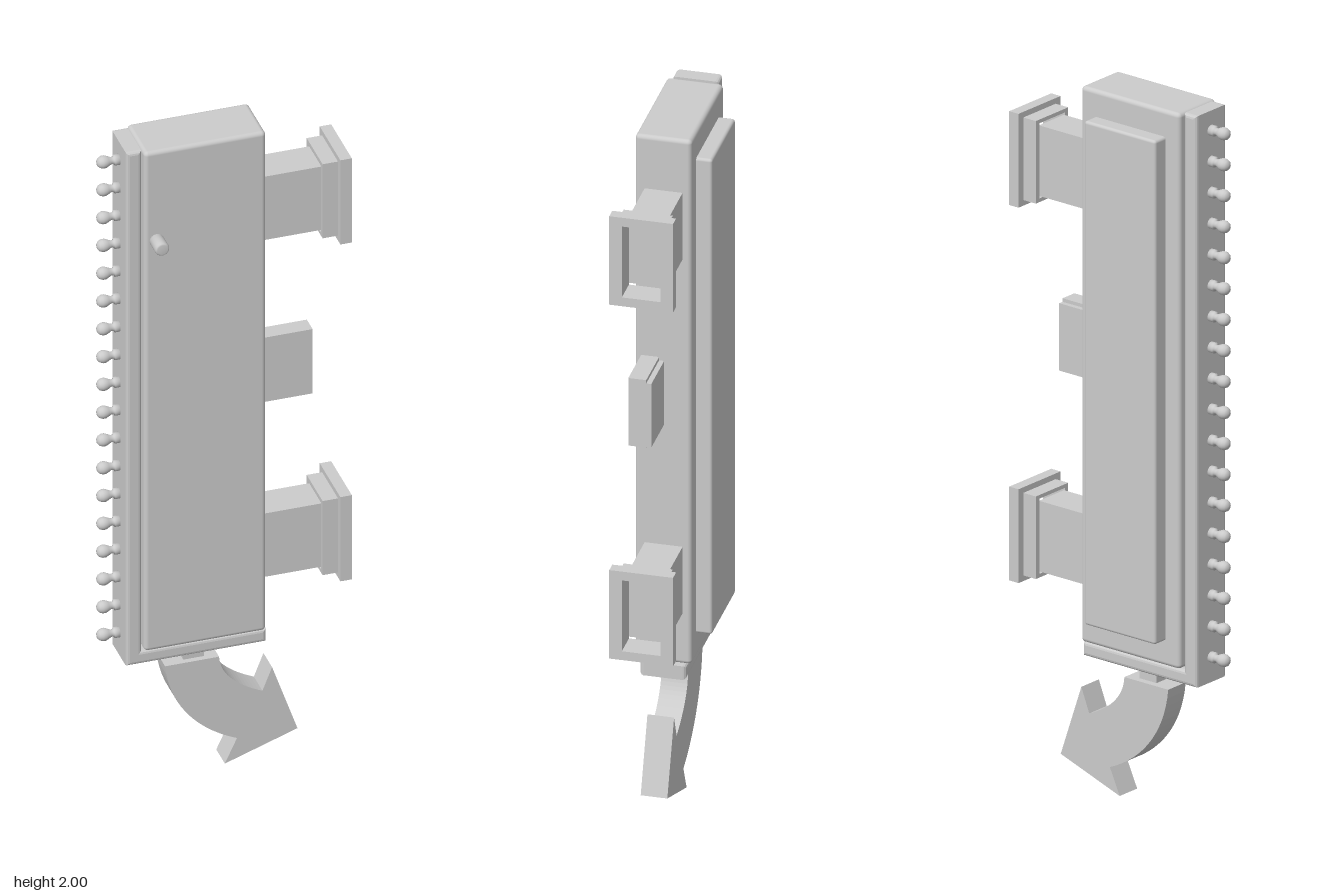
import * as THREE from 'three';
import { RoundedBoxGeometry } from 'three/addons/geometries/RoundedBoxGeometry.js';

const material = new THREE.MeshStandardMaterial({ color: 0xcccccc });

function add(parent, name, geometry) {
  const mesh = new THREE.Mesh(geometry, material);
  mesh.name = name;
  parent.add(mesh);
  return mesh;
}

// Box given by its limits on each axis; rounded when a radius is given
function box(parent, name, [x0, x1], [y0, y1], [z0, z1], radius = 0) {
  const size = [x1 - x0, y1 - y0, z1 - z0];
  const geometry = radius
    ? new RoundedBoxGeometry(...size, 3, radius)
    : new THREE.BoxGeometry(...size);
  const mesh = add(parent, name, geometry);
  mesh.position.set((x0 + x1) / 2, (y0 + y1) / 2, (z0 + z1) / 2);
  return mesh;
}

// Rectangular ring around the x axis, with its opening facing +x
function frame(parent, name, x0, x1, height, depth, holeHeight, holeDepth) {
  const rect = (target, w, h) => {
    target.moveTo(-w / 2, -h / 2);
    target.lineTo(w / 2, -h / 2);
    target.lineTo(w / 2, h / 2);
    target.lineTo(-w / 2, h / 2);
    target.closePath();
    return target;
  };
  const shape = rect(new THREE.Shape(), depth, height);
  shape.holes.push(rect(new THREE.Path(), holeDepth, holeHeight));
  const geometry = new THREE.ExtrudeGeometry(shape, { depth: x1 - x0, bevelEnabled: false });
  geometry.rotateY(Math.PI / 2);
  add(parent, name, geometry).position.x = x0;
}

export function createModel() {
  const model = new THREE.Group();
  model.name = 'wallUnit';

  // Main case with the raised panel on its back
  box(model, 'case', [-0.235, 0.105], [0.425, 2], [-0.081, 0.074], 0.012);
  box(model, 'backPanel', [-0.188, 0.057], [0.497, 1.925], [-0.125, -0.07], 0.008);

  // L-shaped edging: side rail and bottom plate in one piece
  const b = 0.01;
  const outline = [[-0.281, 0.38], [0.11, 0.38], [0.11, 0.421], [-0.238, 0.421], [-0.238, 2], [-0.281, 2]];
  const inset = [[1, 1], [-1, 1], [-1, -1], [-1, -1], [-1, -1], [1, -1]];
  const edging = new THREE.Shape(outline.map(([x, y], i) =>
    new THREE.Vector2(x + inset[i][0] * b, y + inset[i][1] * b)));
  add(model, 'edging', new THREE.ExtrudeGeometry(edging, {
    depth: 0.127 - 2 * b, bevelSize: b, bevelThickness: b, bevelSegments: 3,
  })).position.z = -0.067 + b;

  // Row of ball-ended pins along the side rail
  const pinProfile = [
    [0, 0], [0.015, 0], [0.015, 0.02], [0.01, 0.022], [0.01, 0.029], [0.014, 0.037],
    [0.0175, 0.045], [0.0175, 0.054], [0.014, 0.062], [0.008, 0.067], [0, 0.068],
  ].map(([r, h]) => new THREE.Vector2(r, h));
  const pinGeometry = new THREE.LatheGeometry(pinProfile, 20);
  pinGeometry.rotateZ(Math.PI / 2);
  const pins = new THREE.Group();
  pins.name = 'pins';
  model.add(pins);
  for (let i = 0; i < 18; i++) {
    add(pins, 'pin', pinGeometry).position.set(-0.275, 0.452 + i * 0.0878, -0.004);
  }

  // Small knob on the front
  const knobProfile = [[0, 0], [0.02, 0], [0.02, 0.054], [0.018, 0.058], [0.014, 0.06], [0, 0.06]]
    .map(([r, h]) => new THREE.Vector2(r, h));
  const knob = new THREE.LatheGeometry(knobProfile, 24);
  knob.rotateX(Math.PI / 2);
  add(model, 'knob', knob).position.set(-0.201, 1.72, 0.065);

  // Two side ports with stepped, open flanges
  for (const y of [1.742, 0.678]) {
    const port = new THREE.Group();
    port.name = 'port';
    port.position.set(0, y, -0.0045);
    model.add(port);
    box(port, 'portNeck', [0.09, 0.268], [-0.1, 0.1], [-0.052, 0.052]);
    frame(port, 'portCollar', 0.266, 0.309, 0.234, 0.135, 0.213, 0.106);
    frame(port, 'portFlange', 0.309, 0.341, 0.266, 0.175, 0.213, 0.106);
  }

  // Stepped block between the ports
  box(model, 'sideBlock', [0.09, 0.24], [1.137, 1.34], [0.008, 0.057]);
  box(model, 'sideBlockStep', [0.09, 0.24], [1.139, 1.33], [-0.006, 0.009]);

  // Stem and curved arrow below
  box(model, 'stem', [-0.108, -0.05], [0.335, 0.39], [-0.022, 0.016]);
  const arrow = new THREE.Shape();
  arrow.moveTo(-0.164, 0.341);
  arrow.bezierCurveTo(-0.15, 0.2, -0.06, 0.115, 0.037, 0.074);
  arrow.lineTo(0.003, 0);
  arrow.lineTo(0.206, 0.071);
  arrow.lineTo(0.135, 0.278);
  arrow.lineTo(0.108, 0.209);
  arrow.bezierCurveTo(0.05, 0.235, -0.01, 0.275, -0.013, 0.341);
  arrow.closePath();
  add(model, 'arrow', new THREE.ExtrudeGeometry(arrow, {
    depth: 0.073, bevelEnabled: false, curveSegments: 16,
  })).position.z = -0.041;

  return model;
}
